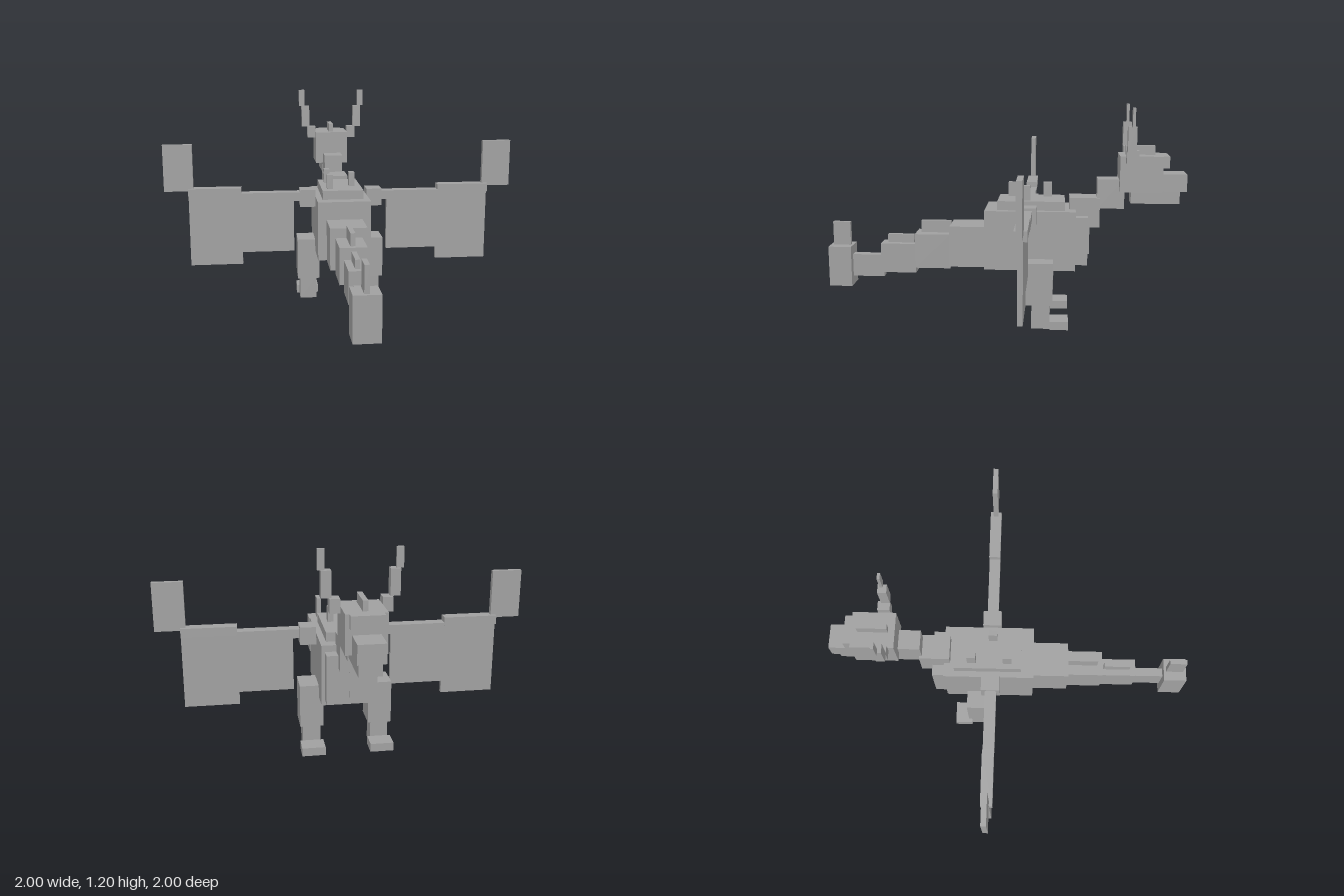
import * as THREE from 'three';

export function createModel() {
  const model = new THREE.Group();
  model.name = 'blockDragon';
  const stoneGrey = new THREE.MeshStandardMaterial({ color: 0xa0a0a0 });
  stoneGrey.name = 'stoneGrey';

  // Box given by its lower and upper limits on each axis
  function block(name, x0, x1, y0, y1, z0, z1) {
    const mesh = new THREE.Mesh(new THREE.BoxGeometry(x1 - x0, y1 - y0, z1 - z0), stoneGrey);
    mesh.position.set((x0 + x1) / 2, (y0 + y1) / 2, (z0 + z1) / 2);
    mesh.name = name;
    model.add(mesh);
  }
  // Box centred on x = 0
  const centred = (name, half, ...limits) => block(name, -half, half, ...limits);
  // Left and right copies
  function pair(name, x0, x1, ...limits) {
    block(name + 'Left', x0, x1, ...limits);
    block(name + 'Right', -x1, -x0, ...limits);
  }

  // Torso
  centred('body', 0.148, 0.305, 0.635, -0.4, 0.1);
  centred('backPlate', 0.115, 0.635, 0.685, -0.34, 0.03);
  centred('chest', 0.13, 0.335, 0.6, -0.467, -0.4);
  centred('breastRidge', 0.013, 0.37, 0.55, -0.48, -0.467);
  [[-0.069, -0.243], [-0.069, -0.046], [0.064, -0.127]].forEach(([x, z], i) =>
    block('backSpike' + (i + 1), x - 0.016, x + 0.016, 0.685, 0.765, z - 0.024, z + 0.024));

  // Tail, from the body to the tip
  centred('tailBase', 0.1, 0.305, 0.535, 0.1, 0.3);
  centred('tailSecond', 0.072, 0.287, 0.482, 0.3, 0.5);
  centred('tailThird', 0.05, 0.252, 0.42, 0.5, 0.7);
  centred('tailFourth', 0.025, 0.22, 0.348, 0.69, 0.87);
  centred('tailTip', 0.067, 0.17, 0.4, 0.87, 1);
  centred('tailFinFront', 0.013, 0.482, 0.55, 0.3, 0.47);
  centred('tailFinMiddle', 0.013, 0.42, 0.467, 0.515, 0.665);
  centred('tailTipSpike', 0.013, 0.4, 0.535, 0.883, 0.982);

  // Neck and head
  centred('neckLower', 0.07, 0.535, 0.7, -0.532, -0.365);
  centred('neckUpper', 0.055, 0.64, 0.803, -0.665, -0.517);
  centred('head', 0.1, 0.74, 0.935, -0.865, -0.635);
  centred('headCrest', 0.013, 0.935, 0.985, -0.83, -0.67);
  centred('brow', 0.08, 0.87, 0.935, -0.902, -0.865);
  centred('snout', 0.067, 0.74, 0.835, -1, -0.865);
  centred('jaw', 0.055, 0.67, 0.74, -0.965, -0.7);
  pair('hornBase', 0.1, 0.15, 0.9, 0.97, -0.73, -0.665);
  pair('hornMiddle', 0.139, 0.187, 0.97, 1.1, -0.712, -0.665);
  pair('hornTip', 0.168, 0.203, 1.1, 1.2, -0.7, -0.685);

  // Legs
  pair('thigh', 0.123, 0.25, 0.135, 0.37, -0.28, -0.12);
  pair('shin', 0.139, 0.235, 0, 0.135, -0.265, -0.165);
  pair('foot', 0.123, 0.25, 0, 0.046, -0.365, -0.265);

  // Wings
  pair('wingShoulder', 0.148, 0.235, 0.572, 0.67, -0.187, -0.085);
  pair('wingArmInner', 0.235, 0.568, 0.605, 0.655, -0.165, -0.103);
  pair('wingArmOuter', 0.568, 0.865, 0.635, 0.685, -0.167, -0.103);
  pair('wingTip', 0.837, 1, 0.67, 0.935, -0.149, -0.121);
  pair('wingPanelInner', 0.27, 0.568, 0.305, 0.605, -0.147, -0.121);
  pair('wingPanelOuter', 0.568, 0.865, 0.235, 0.635, -0.147, -0.121);

  return model;
}
